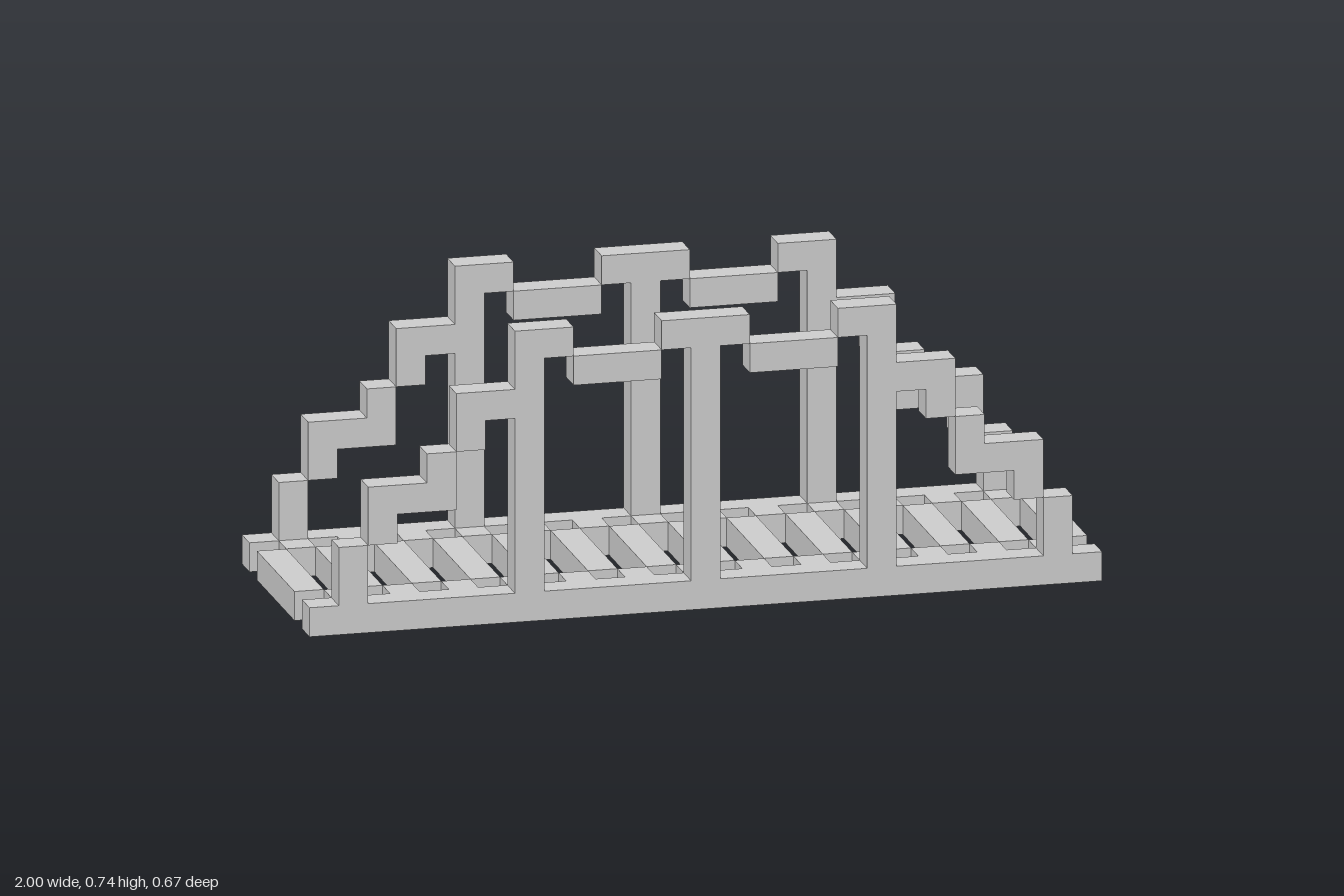
import * as THREE from 'three';

// One grid cell: the bridge is 27 cells long, 9 wide and 10 high.
const U = 2 / 27;
const material = new THREE.MeshStandardMaterial({ color: 0xcccccc, flatShading: true });

// Box filling whole cells: columns c0..c1 (0 = middle), rows r0..r1 (0 = ground), z0..z1 (0 = middle).
function block(parent, name, c0, c1, r0, r1, z0, z1) {
  const geometry = new THREE.BoxGeometry((c1 - c0 + 1) * U, (r1 - r0 + 1) * U, (z1 - z0 + 1) * U);
  const mesh = new THREE.Mesh(geometry, material);
  mesh.name = name;
  mesh.position.set(((c0 + c1) / 2) * U, ((r0 + r1 + 1) / 2) * U, ((z0 + z1) / 2) * U);
  parent.add(mesh);
}

// Parts of one half of the stepped arch: name, first column, last column, first row, last row
const HALF_ARCH = [
  ['upperBar', 2, 4, 8, 8],
  ['sidePostCap', 5, 5, 9, 9],
  ['sidePost', 6, 6, 1, 9],
  ['upperStep', 7, 8, 7, 7],
  ['upperStepDrop', 8, 8, 6, 6],
  ['middleStepRiser', 9, 9, 5, 5],
  ['middleStep', 9, 11, 4, 4],
  ['middleStepDrop', 11, 11, 3, 3],
  ['endPost', 12, 12, 1, 2],
];

function createTruss(name, z) {
  const truss = new THREE.Group();
  truss.name = name;
  block(truss, 'bottomBeam', -13, 13, 0, 0, z, z);
  block(truss, 'centrePost', 0, 0, 1, 8, z, z);
  block(truss, 'centrePostCap', -1, 1, 9, 9, z, z);
  for (const [part, c0, c1, r0, r1] of HALF_ARCH) {
    block(truss, part + 'Left', c0, c1, r0, r1, z, z);
    block(truss, part + 'Right', -c1, -c0, r0, r1, z, z);
  }
  return truss;
}

function createDeck() {
  const deck = new THREE.Group();
  deck.name = 'deck';
  // Planks across the middle
  for (let c = -13; c <= 13; c += 2) block(deck, 'plank', c, c, 0, 0, -2, 2);
  // Small blocks between the planks and the beams, set in the gaps
  for (let c = -12; c <= 12; c += 2) {
    for (const z of [-3, 3]) block(deck, 'plankConnector', c, c, 0, 0, z, z);
  }
  return deck;
}

export function createModel() {
  const bridge = new THREE.Group();
  bridge.name = 'bridge';
  bridge.add(createDeck(), createTruss('frontTruss', 4), createTruss('backTruss', -4));
  return bridge;
}
